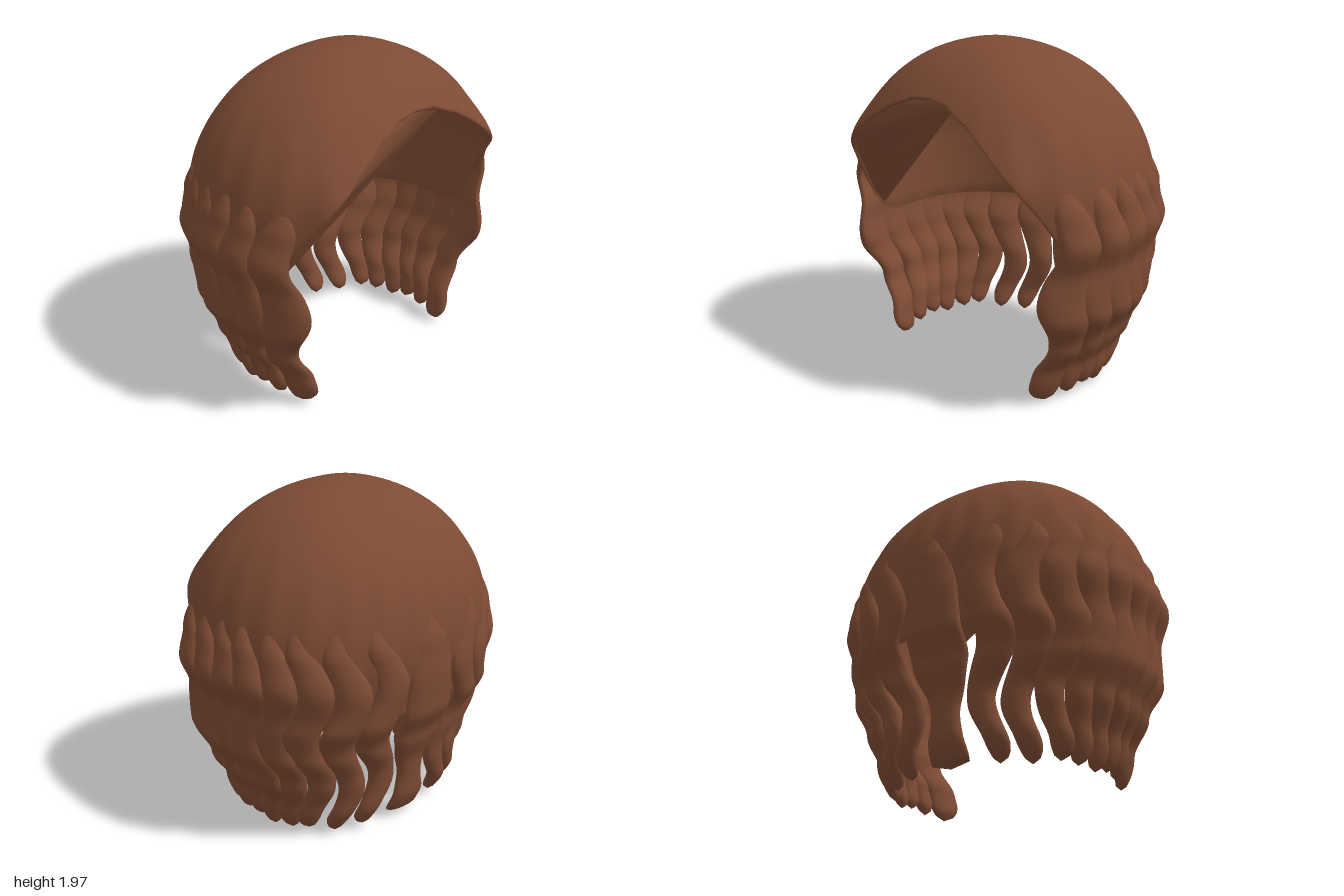
import * as THREE from 'three';

const rad = THREE.MathUtils.degToRad;
const { lerp, smoothstep } = THREE.MathUtils;
const hair = new THREE.MeshStandardMaterial({ color: 0x7d4b34, side: THREE.DoubleSide });

// Linear or eased lookup in a short list of [key, value] pairs, keys ascending
function lookup(table, k, ease = false) {
  if (k <= table[0][0]) return table[0][1];
  for (let i = 1; i < table.length; i++) {
    const [k0, v0] = table[i - 1], [k1, v1] = table[i];
    if (k <= k1) {
      let t = (k - k0) / (k1 - k0);
      if (ease) t = t * t * (3 - 2 * t);
      return v0 + (v1 - v0) * t;
    }
  }
  return table[table.length - 1][1];
}

// Head outline seen from above: azimuth 0 is the front, +90 degrees is +x
const CZ = 0.12, CY = 1.15, RY = 0.84;
function outline(a, scale) {
  const s = Math.sin(a), c = Math.cos(a);
  const p = c > 0 ? 2.4 : 2.3, rz = c > 0 ? 0.73 : 0.78;
  const r = scale * Math.pow(Math.pow(Math.abs(s / 0.92), p) + Math.pow(Math.abs(c / rz), p), -1 / p);
  return new THREE.Vector3(r * s, 0, CZ + r * c);
}

// Height of the cap's lower edge by azimuth: high over the face, low at the back
const RIM = [[0, 1.73], [15, 1.715], [30, 1.64], [40, 1.54], [50, 1.39], [58, 1.24], [65, 1.08], [72, 0.86], [80, 0.78]];

// Point on the cap: u = 0 at the crown, 1 at the edge
function capPoint(a, u, inner) {
  const deg = Math.abs(a > Math.PI ? a - 2 * Math.PI : a) * 180 / Math.PI;
  const rim = lookup(RIM, deg);
  const half = Math.PI / 2;
  const end = rim > CY ? Math.acos((rim - CY) / RY) : half + (CY - rim) / RY;
  const phi = u * end;
  // thin along the face opening, thicker elsewhere
  const edge = lerp(0.02, 0.085, smoothstep(deg, 55, 85));
  const skin = inner ? lerp(0.06, edge, u * u * u) : 0;
  const y = phi < half ? CY + RY * (1 - skin) * Math.cos(phi) : CY - RY * (phi - half);
  let f = (1 - skin) * Math.sin(Math.min(phi, half));
  if (!inner) {
    f *= 1 + 0.007 * Math.sin(a * 24 + 1.5 * Math.sin(phi * 4)) * Math.pow(Math.sin(phi), 4);
    f -= 0.06 * smoothstep(CY - y, 0, CY - 0.78); // tucks in behind the locks
  }
  // fullness at the temples
  f *= 1 + 0.055 * Math.exp(-(((deg - 47) / 11) ** 2) - (((y - 1.4) / 0.17) ** 2));
  const q = outline(a, f);
  q.y = y;
  return q;
}

// Skin over rows of points; each row is a closed loop
function loft(rows) {
  const n = rows[0].length, index = [];
  for (let i = 0; i < rows.length - 1; i++) {
    for (let j = 0; j < n; j++) {
      const k = (j + 1) % n;
      const a = i * n + j, b = i * n + k, c = a + n, d = b + n;
      index.push(a, c, d, a, d, b);
    }
  }
  const g = new THREE.BufferGeometry().setFromPoints(rows.flat());
  g.setIndex(index);
  g.computeVertexNormals();
  return g;
}

function addMesh(group, geometry, name) {
  const m = new THREE.Mesh(geometry, hair);
  m.name = name;
  group.add(m);
}

// Cap with an outer and an inner skin joined at the edge
function capGeometry() {
  const cols = 240, steps = 44, rows = [];
  const row = (u, inner) => Array.from({ length: cols }, (_, j) => capPoint(j / cols * Math.PI * 2, u, inner));
  for (let i = 0; i <= steps; i++) rows.push(row(Math.max(i / steps, 0.002), false));
  for (let i = steps; i >= 0; i -= 2) rows.push(row(Math.max(i / steps, 0.002), true));
  return loft(rows);
}

// Flat sheet inside the opening, fanning from the parting to the right edge
function liningGeometry() {
  const pts = [capPoint(rad(19), 0.99, true)], index = [];
  for (let d = 0; d <= 75; d += 5) pts.push(capPoint(rad(360 - d), 0.99, true));
  for (let i = 1; i < pts.length - 1; i++) index.push(0, i, i + 1);
  const g = new THREE.BufferGeometry().setFromPoints(pts);
  g.setIndex(index);
  g.computeVertexNormals();
  return g;
}

// How far the locks stand out from the head at each height (side and back)
const SIDE = [[0.02, 0.78], [0.2, 0.82], [0.4, 0.92], [0.62, 1.02], [0.85, 1.02], [1.05, 1.085], [1.22, 1.04], [1.4, 1.005]];
const BACK = [[0.02, 0.77], [0.2, 0.85], [0.4, 0.86], [0.6, 0.93], [0.8, 1.03], [1, 1.045], [1.2, 1.03], [1.4, 1.005]];
// Width of the locks along their length
const WIDTH = [[0, 0.05], [0.15, 0.07], [0.35, 0.08], [0.65, 0.115], [1, 0.11], [1.4, 0.08]];
const FRONT_WIDTH = [[0, 0.08], [0.15, 0.1], [0.4, 0.1], [0.7, 0.15], [1, 0.12], [1.4, 0.1]];
const CENTRE_WIDTH = [[0.02, 0.12], [0.1, 0.125], [0.32, 0.09], [0.65, 0.19], [1, 0.17], [1.4, 0.1]];

// Wavy flattened lock hanging at azimuth a; wave: sideways sway
function lockGeometry(a, { wave, phase, widths, bottom, blunt }) {
  const steps = 44, sides = 14, top = 1.38, rows = [];
  const back = smoothstep(Math.abs(a), rad(100), rad(150));
  for (let i = 0; i <= steps; i++) {
    const t = i / steps, y = top + (bottom - top) * t;
    const scale = lerp(lookup(SIDE, y, true), lookup(BACK, y, true), back);
    const base = outline(a, scale);
    const across = outline(a - 0.03, scale).sub(outline(a + 0.03, scale)).normalize();
    const out = new THREE.Vector3(across.z, 0, -across.x);
    if (out.x * base.x + out.z * (base.z - CZ) < 0) out.negate();
    // rounded ends
    const e = blunt ? 0.02 : 0.07;
    const tip = Math.sqrt(Math.max(0, 1 - Math.max(0, (t - 1 + e) / e) ** 2));
    const start = Math.sqrt(Math.min(1, t / 0.12));
    const w = lookup(widths, y, true) * tip * start;
    const h = 0.06 * tip * start * (0.7 + 0.3 * Math.min(1, y / 0.6));
    // flat against the cap, round below it
    const inward = lerp(1, 0.25, smoothstep(y, 0.6, 0.8));
    const sway = wave * Math.cos((y - 0.68 + phase) / 0.63 * Math.PI * 2);
    base.addScaledVector(across, sway).addScaledVector(out, -0.06);
    base.y = y;
    rows.push(Array.from({ length: sides }, (_, j) => {
      const q = j / sides * Math.PI * 2, s = Math.sin(q);
      return base.clone().addScaledVector(across, w * Math.cos(q)).addScaledVector(out, h * s * (s < 0 ? inward : 1));
    }));
  }
  return loft(rows);
}

export function createModel() {
  const group = new THREE.Group();
  group.name = 'wavyWig';
  addMesh(group, capGeometry(), 'cap');
  addMesh(group, liningGeometry(), 'innerSheet');

  // Mirrored locks from the temples round to the back
  const azimuths = [70, 84, 94, 104, 115, 126, 140, 156];
  azimuths.forEach((deg, i) => {
    for (const side of [1, -1]) {
      const geometry = lockGeometry(rad(deg) * side, {
        wave: (deg > 120 ? 0.05 : 0.035) * side,
        phase: (deg > 120 ? 0 : -0.05) + 0.03 * Math.sin(i * 2.3),
        widths: i === 0 ? FRONT_WIDTH : WIDTH, bottom: 0.015 + 0.012 * (i % 3), blunt: false,
      });
      addMesh(group, geometry, (side > 0 ? 'leftLock' : 'rightLock') + (i + 1));
    }
  });

  // Broad lock in the middle of the back
  addMesh(group, lockGeometry(Math.PI, { wave: 0, phase: 0, widths: CENTRE_WIDTH, bottom: 0.035, blunt: true }), 'backLock');

  // Rest on the ground
  const box = new THREE.Box3().setFromObject(group);
  group.children.forEach((m) => m.geometry.translate(0, -box.min.y, -(box.min.z + box.max.z) / 2));
  return group;
}
